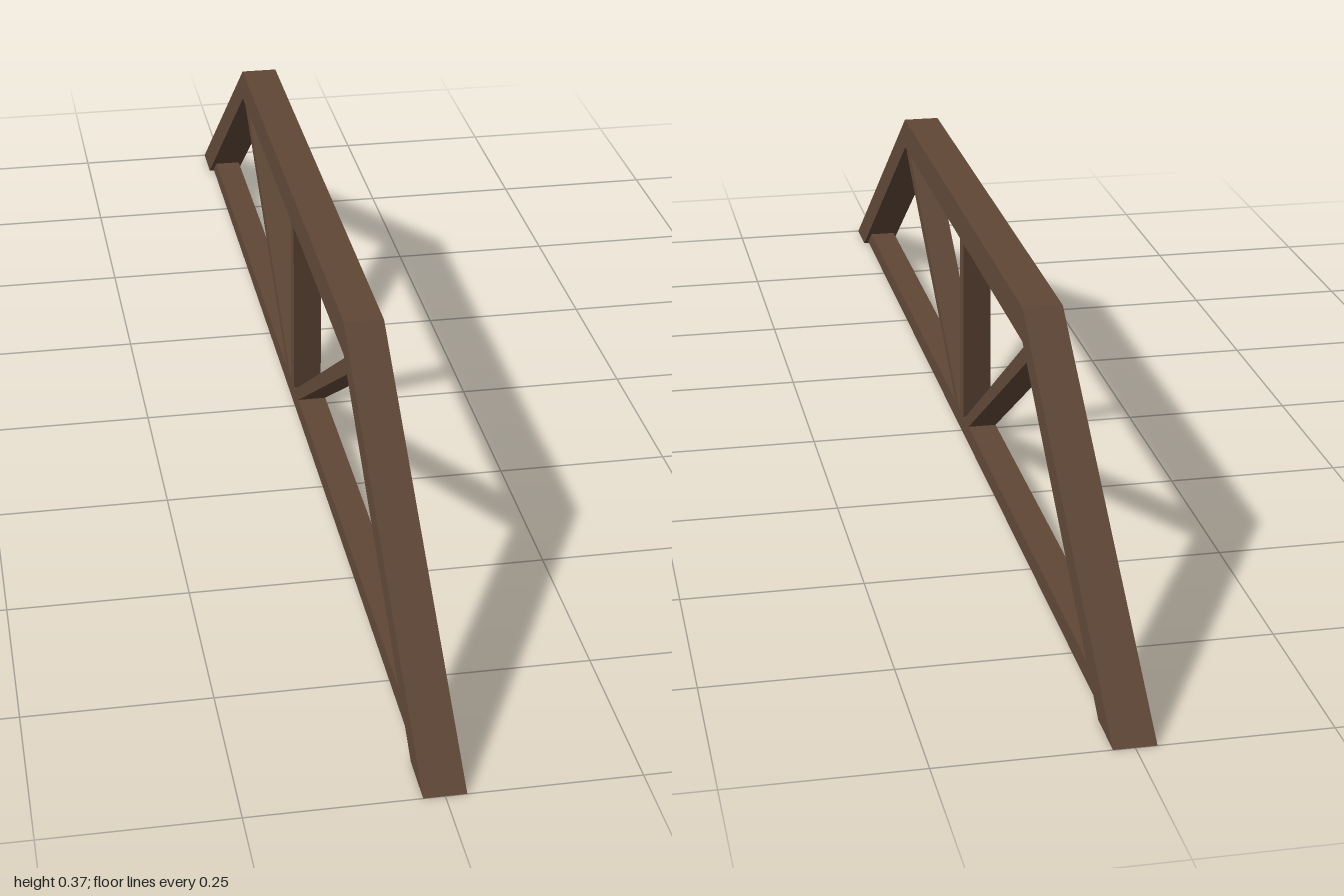
import * as THREE from 'three';

const wood = new THREE.MeshStandardMaterial({ color: 0x5f4736 });
wood.name = 'dark brown wood';

// Timber cut to a side profile of [z, y] corners, extruded across x
function timber(name, corners, width) {
  const shape = new THREE.Shape(corners.map(([z, y]) => new THREE.Vector2(z, y)));
  const geometry = new THREE.ExtrudeGeometry(shape, { depth: width, bevelEnabled: false });
  geometry.translate(0, 0, -width / 2);
  geometry.rotateY(-Math.PI / 2);
  const mesh = new THREE.Mesh(geometry, wood);
  mesh.name = name;
  return mesh;
}

export function createModel() {
  const truss = new THREE.Group();
  truss.name = 'roofTruss';
  const WIDE = 0.055, SLIM = 0.042;
  const MID = -0.012; // centre line of the post and upper chord
  const HALF = 0.464; // half length of the upper chord
  const TOP = 0.374, UNDER = 0.326;

  // Upper chord, with mitred ends following the rafters
  truss.add(timber('topChord', [
    [MID - HALF, TOP], [MID - HALF, UNDER], [MID + HALF, UNDER], [MID + HALF, TOP],
  ], WIDE));

  // Lower chord and central post
  truss.add(timber('bottomChord', [[-0.94, 0.005], [0.94, 0.005], [0.94, 0.033], [-0.94, 0.033]], SLIM));
  truss.add(timber('centrePost', [
    [MID - 0.0135, 0.007], [MID + 0.0135, 0.007], [MID + 0.0135, 0.33], [MID - 0.0135, 0.33],
  ], SLIM));

  // Sloping rafters and diagonal braces at both ends
  for (const [side, label] of [[1, 'front'], [-1, 'back']]) {
    const z = (d) => MID + side * d;
    truss.add(timber(label + 'Rafter', [
      [z(HALF), TOP], [side, 0], [side * 0.926, 0], [z(HALF), UNDER],
    ], WIDE));
    truss.add(timber(label + 'Brace', [
      [z(0.491), 0.313], [z(0.057), 0.035], [z(0.018), 0.01], [z(0.0), 0.02], [z(0.466), 0.325],
    ], SLIM));
  }
  return truss;
}
